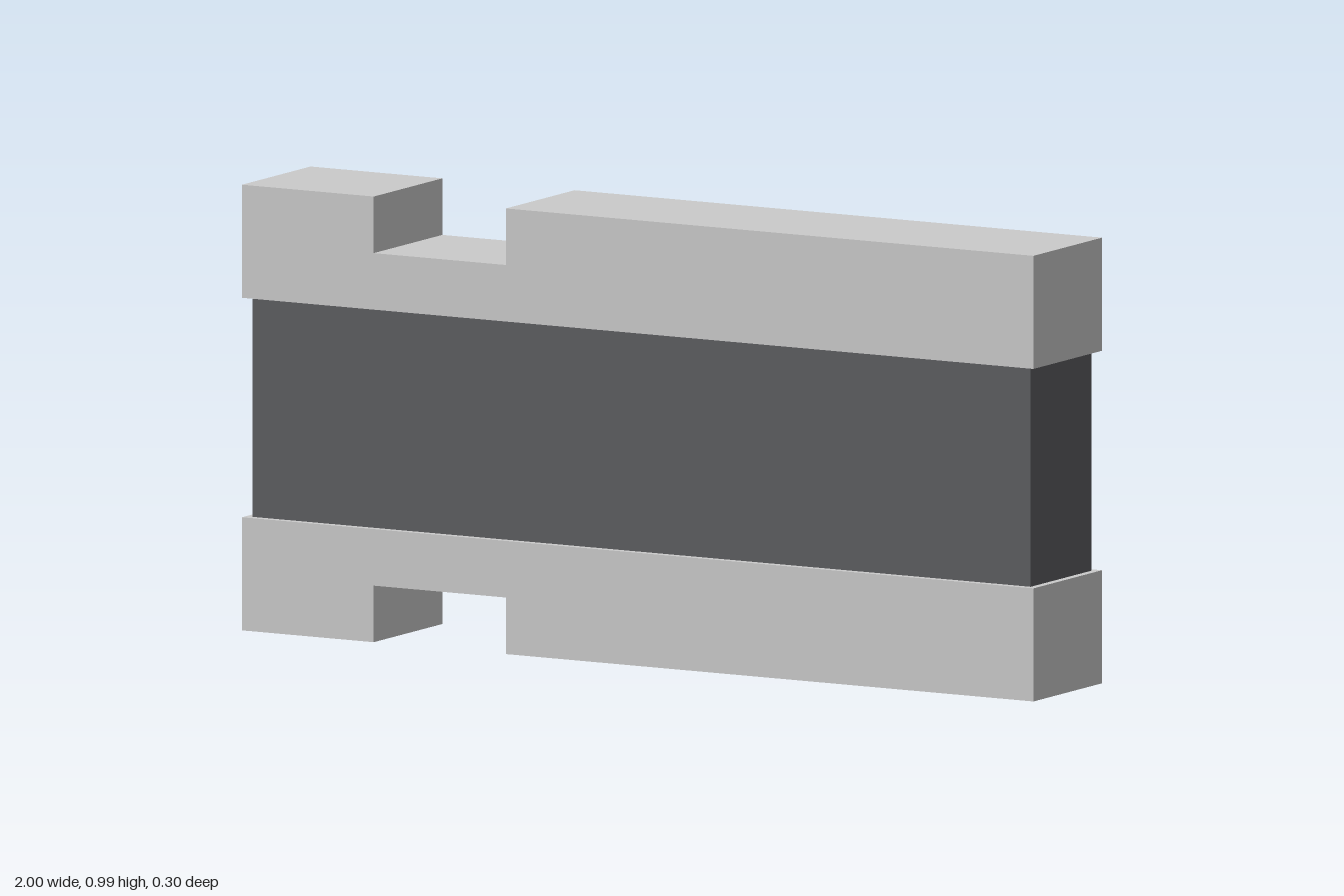
import * as THREE from 'three';

const HEIGHT = 0.985, RAIL = 0.25, DEPTH = 0.298;

export function createModel() {
  const model = new THREE.Group();
  const railMaterial = new THREE.MeshStandardMaterial({ color: 0xcccccc, flatShading: true });
  const coreMaterial = new THREE.MeshStandardMaterial({ color: 0x5c5d60, flatShading: true });

  // Rail outline with a notch in its outer edge
  const outline = [
    [-1, 0], [-0.667, 0], [-0.667, 0.125], [-0.333, 0.125],
    [-0.333, 0], [1, 0], [1, RAIL], [-1, RAIL],
  ].map(([x, y]) => new THREE.Vector2(x, y));

  // Bottom rail, and the same outline flipped for the top rail
  for (const [name, flipped] of [['bottomRail', false], ['topRail', true]]) {
    const points = outline.map((p) => new THREE.Vector2(p.x, flipped ? HEIGHT - p.y : p.y));
    const geometry = new THREE.ExtrudeGeometry(new THREE.Shape(points), { depth: DEPTH, bevelEnabled: false });
    geometry.translate(0, 0, -DEPTH / 2);
    const rail = new THREE.Mesh(geometry, railMaterial);
    rail.name = name;
    model.add(rail);
  }

  // Dark core, slightly inset between the rails
  const core = new THREE.Mesh(new THREE.BoxGeometry(1.967, HEIGHT - 2 * RAIL, 0.265), coreMaterial);
  core.name = 'core';
  core.position.y = HEIGHT / 2;
  model.add(core);

  return model;
}
